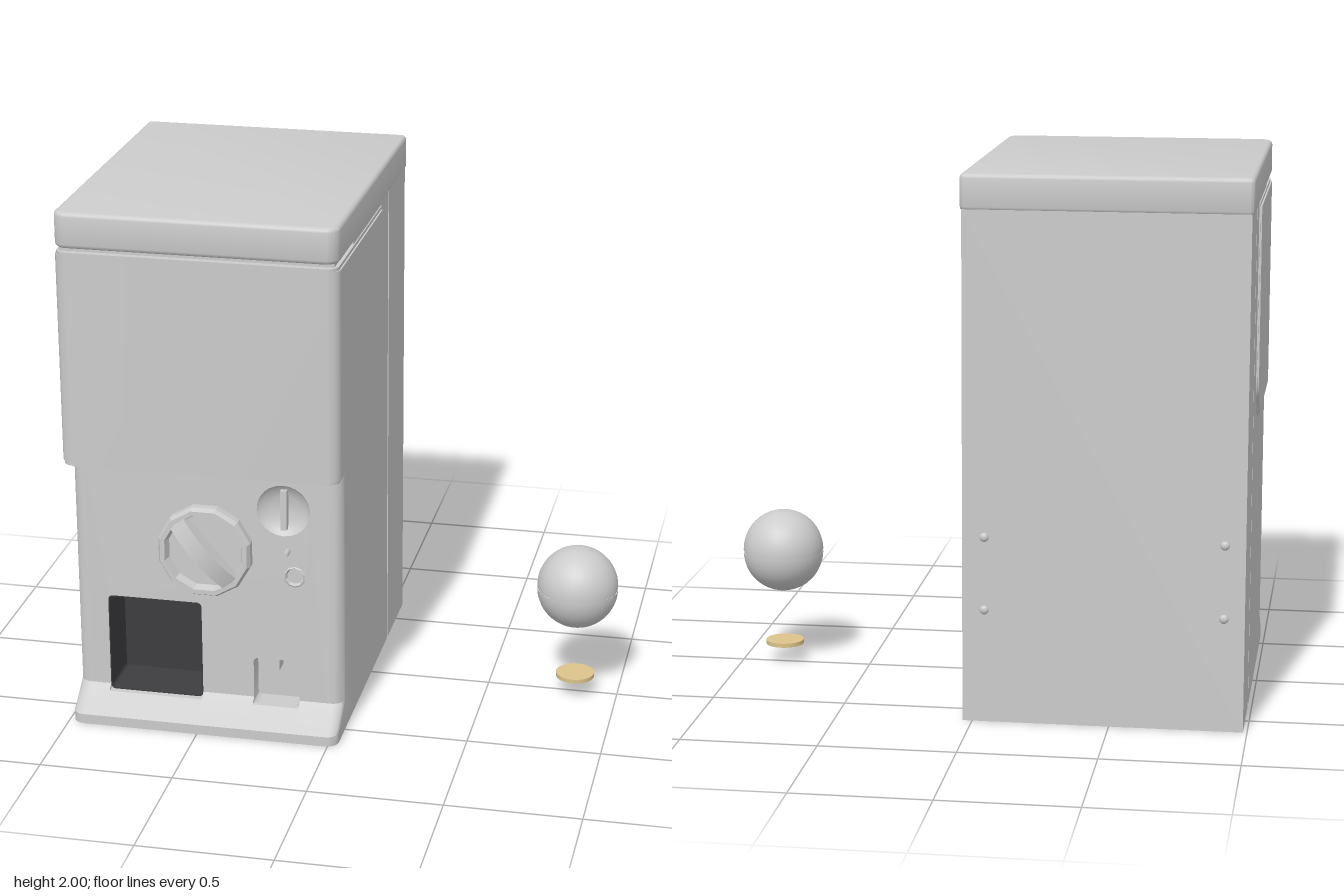
import * as THREE from 'three';
import { toCreasedNormals } from 'three/addons/utils/BufferGeometryUtils.js';

const grey = new THREE.MeshStandardMaterial({ color: 0xcccccc });
const facetted = new THREE.MeshStandardMaterial({ color: 0xcccccc, flatShading: true });
const dark = new THREE.MeshStandardMaterial({ color: 0x3d3d40 });
const gold = new THREE.MeshStandardMaterial({ color: 0xdcc48a });

const CX = -0.475, HALF = 0.51, FACE = 0.535;
const smooth = (geo) => toCreasedNormals(geo, 0.6);
const poly = (pts) => new THREE.Shape(pts.map(([x, y]) => new THREE.Vector2(x, y)));

// Rounded rectangle; rb rounds the corners at y0, rt those at y1
function roundRect(x0, y0, x1, y1, rb, rt = rb) {
  const s = new THREE.Shape();
  s.absarc(x1 - rb, y0 + rb, rb, -Math.PI / 2, 0);
  s.absarc(x1 - rt, y1 - rt, rt, 0, Math.PI / 2);
  s.absarc(x0 + rt, y1 - rt, rt, Math.PI / 2, Math.PI);
  s.absarc(x0 + rb, y0 + rb, rb, Math.PI, Math.PI * 1.5);
  s.closePath();
  return s;
}

function circle(x, y, r) {
  return new THREE.Path().absarc(x, y, r, 0, Math.PI * 2);
}

// Sweep a (z, y) profile from x0 to x1, rounding the front vertical edges
function sweepX(shape, x0, x1, r0 = 0, r1 = 0) {
  const n = 6, n0 = r0 ? n : 0, n1 = r1 ? n : 0, steps = n0 + n1 + 1;
  const geo = new THREE.ExtrudeGeometry(shape, { depth: 1, steps, bevelEnabled: false, curveSegments: 6 });
  const p = geo.attributes.position;
  for (let i = 0; i < p.count; i++) {
    let z = p.getX(i);
    const k = Math.round(p.getZ(i) * steps);
    const right = k <= n1, r = right ? r1 : r0;
    const u = r ? (right ? 1 - k / n1 : (k - n1 - 1) / n0) : 0;
    const a = u * Math.PI / 2, out = r * Math.sin(a);
    const x = right ? x1 - r + out : x0 + r - out;
    if (z > 0.4) z -= r * (1 - Math.cos(a));
    p.setXYZ(i, x, p.getY(i), z);
  }
  return smooth(geo);
}

// Extrude a plan shape (x, -z) upward from y
function rise(shape, y, h, bevel = 0) {
  const geo = new THREE.ExtrudeGeometry(shape, {
    depth: h - 2 * bevel, bevelEnabled: bevel > 0, bevelSize: bevel, bevelOffset: -bevel,
    bevelThickness: bevel, bevelSegments: 3, curveSegments: 6,
  });
  return smooth(geo.rotateX(-Math.PI / 2).translate(0, y + bevel, 0));
}

// Turned part whose axis points to the front
function turned(pts, sides) {
  return new THREE.LatheGeometry(pts.map(([r, z]) => new THREE.Vector2(r, z)), sides).rotateX(Math.PI / 2);
}

export function createModel() {
  const model = new THREE.Group();
  const add = (name, geo, mat = grey, x = 0, y = 0, z = 0, parent = model) => {
    const m = new THREE.Mesh(geo, mat);
    m.name = name;
    m.position.set(x, y, z);
    parent.add(m);
    return m;
  };
  const box = (w, h, d) => new THREE.BoxGeometry(w, h, d);

  // Rear cabinet with a vertical groove on each side
  const L = CX - HALF, R = CX + HALF, g = 0.012;
  add('cabinet', rise(poly([
    [L, -0.33], [R, -0.33], [R, 0.307], [R - g, 0.307], [R - g, 0.323], [R, 0.323],
    [R, 0.637], [L, 0.637], [L, 0.323], [L + g, 0.323], [L + g, 0.307], [L, 0.307],
  ]), 0, 1.875));
  add('neck', box(1.0, 0.06, 0.3), grey, CX, 1.86, 0.46);

  // Lid
  add('lid', rise(roundRect(CX - 0.518, -0.637, CX + 0.518, 0.64, 0.05, 0.022), 1.867, 0.133, 0.016));

  // Window cover with a rounded lower rear corner, stepped at its edges
  const coverShape = (d) => {
    const s = new THREE.Shape();
    s.moveTo(0.635 - d / 4, 1.04 + d);
    s.lineTo(0.635 - d / 4, 1.853 - d);
    s.lineTo(-0.165 + d, 1.853 - d);
    s.lineTo(-0.165 + d, 1.21);
    s.quadraticCurveTo(-0.165 + d, 1.155, -0.13 + d, 1.12 + d / 2);
    s.lineTo(-0.085 + d / 2, 1.07 + d);
    s.quadraticCurveTo(-0.06, 1.04 + d, -0.03, 1.04 + d);
    s.closePath();
    return s;
  };
  for (const [d, w] of [[0, 0.514], [0.012, 0.52]])
    add('windowCover', sweepX(coverShape(d), CX - w, CX + w, 0.045, 0.045));

  // Front panel with openings for chute, coin tray, coin dial and button
  const chute = [-0.862, 0.1, -0.502, 0.487, 0.018], tray = [-0.305, 0.1, -0.13, 0.282, 0.018];
  const inL = L + 0.05, inR = R - 0.05;
  const panel = poly([[inL, 0], [inR, 0], [inR, 1.045], [inL, 1.045]]);
  panel.holes.push(roundRect(...chute), roundRect(...tray), circle(-0.185, 0.885, 0.1), circle(-0.145, 0.625, 0.04));
  const panelGeo = new THREE.ExtrudeGeometry(panel, { depth: FACE - 0.33, bevelEnabled: false, curveSegments: 12 });
  add('frontPanel', smooth(panelGeo), grey, 0, 0, 0.33);

  // Rounded panel edges running down into the ends of the foot ledge
  const slope = [[0.65, 0], [0.65, 0.038], [0.63, 0.052], [0.56, 0.1]];
  const column = poly([[0.33, 0], ...slope, [FACE, 0.12], [FACE, 1.045], [0.33, 1.045]]);
  add('rightPanelEdge', sweepX(column, L, inL, 0.045, 0));
  add('leftPanelEdge', sweepX(column, inR, R, 0, 0.045));

  // Foot ledge, cut lower in front of the two openings
  const full = poly([[FACE, 0], ...slope, [FACE, 0.12]]);
  const cut = poly([[FACE, 0], ...slope, [FACE, 0.1]]);
  const stops = [inL, chute[0], chute[2], tray[0], tray[2], inR];
  for (let i = 0; i < 5; i++) add('footLedge', sweepX(i % 2 ? cut : full, stops[i], stops[i + 1]));

  // Dark chute lining
  const lining = roundRect(...chute);
  lining.holes.push(roundRect(chute[0] + 0.004, chute[1] + 0.004, chute[2] - 0.004, chute[3] - 0.004, 0.015));
  add('chuteLining', new THREE.ExtrudeGeometry(lining, { depth: 0.202, bevelEnabled: false }), dark, 0, 0, 0.334);
  add('chuteBack', new THREE.ShapeGeometry(roundRect(...chute)), dark, 0, 0, 0.336);

  // Coin return tray with its little divider
  add('trayBack', new THREE.ShapeGeometry(roundRect(...tray)), grey, 0, 0, FACE - 0.07);
  add('trayDivider', box(0.022, 0.044, 0.065), grey, -0.217, 0.26, FACE - 0.035);

  // Turning knob: twelve-sided rim and arched grip
  const knob = new THREE.Group();
  knob.name = 'knob';
  knob.position.set(-0.478, 0.71, FACE);
  model.add(knob);
  const rim = turned([[0.18, 0], [0.18, 0.03], [0.17, 0.048], [0.152, 0.048], [0.142, 0.015], [0, 0.015]], 12);
  add('knobRim', rim, facetted, 0, 0, 0, knob).rotation.z = Math.PI / 12;
  const arch = new THREE.Shape();
  arch.moveTo(-0.155, 0);
  arch.lineTo(0.155, 0);
  arch.lineTo(0.155, 0.045);
  arch.quadraticCurveTo(0, 0.115, -0.155, 0.045);
  const grip = new THREE.ExtrudeGeometry(arch, { depth: 0.066, bevelEnabled: false, curveSegments: 10 });
  grip.translate(0, 0, -0.033).rotateX(Math.PI / 2);
  add('knobGrip', smooth(grip), grey, 0, 0, 0, knob).rotation.z = -0.85;

  // Coin dial: hollow dish with an upright bar
  add('coinDish', turned([[0.1, 0], [0.085, -0.018], [0.05, -0.032], [0, -0.037]], 32), grey, -0.185, 0.885, FACE);
  add('coinBar', box(0.024, 0.155, 0.034), grey, -0.185, 0.885, FACE - 0.018);

  // Pin and button
  add('pin', new THREE.CylinderGeometry(0.011, 0.011, 0.05, 10).rotateX(Math.PI / 2), grey, -0.17, 0.728, FACE + 0.022);
  add('button', turned([[0.042, 0], [0.036, 0.003], [0.03, -0.01], [0, -0.01]], 10), facetted, -0.145, 0.625, FACE);

  // Rear screws
  const screw = new THREE.SphereGeometry(0.017, 12, 8).scale(1, 1, 0.7);
  for (const x of [-0.91, -0.045])
    for (const y of [0.42, 0.69]) add('screw', screw, grey, x, y, -0.637);

  // Capsule of two half shells around a thin seam
  const shell = new THREE.SphereGeometry(0.154, 32, 12, 0, Math.PI * 2, 0, Math.PI / 2);
  add('capsuleTop', shell, grey, 0.837, 0.449, 0.01);
  add('capsuleBottom', shell, grey, 0.837, 0.441, 0.01).rotation.x = Math.PI;
  add('capsuleSeam', new THREE.CylinderGeometry(0.152, 0.152, 0.01, 32), grey, 0.837, 0.445, 0.01);

  // Coin
  add('coin', new THREE.CylinderGeometry(0.073, 0.073, 0.016, 24), gold, 0.837, 0.078, 0.012);
  return model;
}
